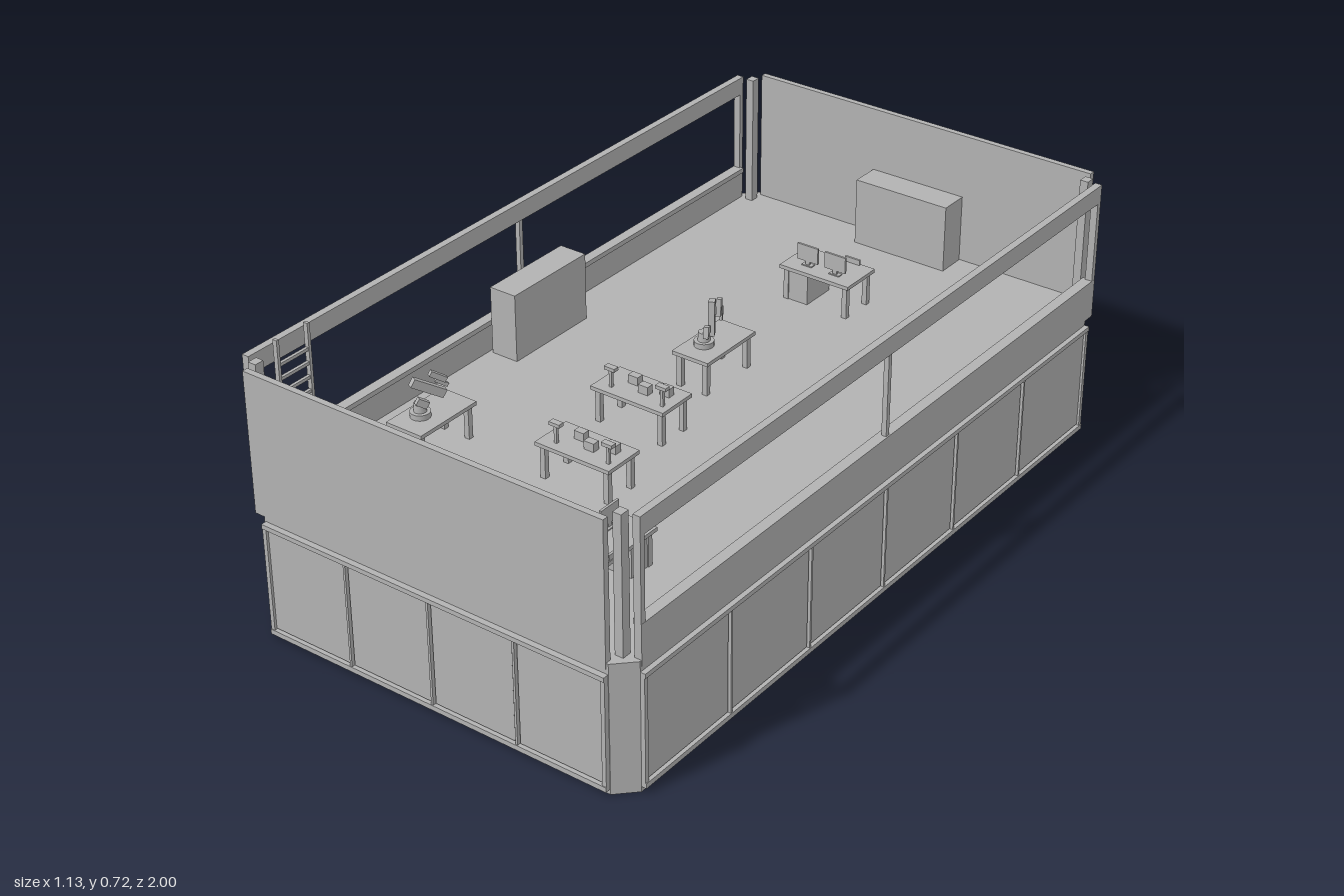
import * as THREE from 'three';

const FLOOR = 0.34, TOP = 0.693;

export function createModel() {
  const root = new THREE.Group();
  root.name = 'cutawayWorkshop';
  const grey = new THREE.MeshStandardMaterial({ color: 0xb2b2b2 });
  grey.name = 'plainGrey';

  const add = (parent, name, geo) => {
    const m = new THREE.Mesh(geo, grey);
    m.name = name;
    parent.add(m);
    return m;
  };
  // Box given by its min and max on each axis
  const box = (parent, name, x0, x1, y0, y1, z0, z1) => {
    const m = add(parent, name, new THREE.BoxGeometry(x1 - x0, y1 - y0, z1 - z0));
    m.position.set((x0 + x1) / 2, (y0 + y1) / 2, (z0 + z1) / 2);
    return m;
  };
  const group = (parent, name, x = 0, y = 0, z = 0, turn = 0) => {
    const g = new THREE.Group();
    g.name = name;
    g.position.set(x, y, z);
    g.rotation.y = turn;
    parent.add(g);
    return g;
  };
  // Square bar between two points
  const bar = (parent, name, a, b, w, h) => {
    const p = new THREE.Vector3(...a), q = new THREE.Vector3(...b);
    const m = add(parent, name, new THREE.BoxGeometry(w, h, p.distanceTo(q)));
    m.position.copy(p).add(q).multiplyScalar(0.5);
    m.lookAt(q);
    return m;
  };

  // Base block with two wide and two narrow cut corners
  const plan = [[-0.474, 0.985], [0.506, 0.985], [0.553, 0.938], [0.553, -0.9]];
  const corners = [...plan, ...plan.map(([x, z]) => [-x, -z])];
  const shape = new THREE.Shape(corners.map(([x, z]) => new THREE.Vector2(x, -z)));
  const base = new THREE.ExtrudeGeometry(shape, { depth: FLOOR, bevelEnabled: false });
  base.rotateX(-Math.PI / 2);
  add(root, 'base', base);

  // Framed panels along one face; local x runs along the face, z points outward
  const panelFrame = (parent, name, x0, x1, depth, count) => {
    const g = group(parent, name);
    const out = depth + 0.013, rail = 0.011;
    box(g, 'panelBacking', x0, x1, 0.015, 0.31, depth - 0.01, depth + 0.003);
    box(g, 'topRail', x0, x1, 0.301, 0.313, depth - 0.01, out + 0.002);
    box(g, 'bottomRail', x0, x1, 0.014, 0.027, depth - 0.01, out + 0.002);
    const step = (x1 - x0 - rail) / count;
    for (let i = 0; i <= count; i++) {
      const x = x0 + i * step;
      const edge = i === 0 || i === count;
      const w = edge ? rail : 0.006, s = edge ? 0 : 0.0025;
      box(g, 'panelPost', x + s, x + s + w, 0.014, 0.313, depth - 0.01, out);
      if (i < count) {
        box(g, 'panel', x + rail + 0.002, x + step - 0.002, 0.031, 0.297, depth, depth + 0.008);
      }
    }
    return g;
  };

  // Everything on the shell repeats after a half turn
  for (const turn of [0, Math.PI]) {
    const half = group(root, 'shellHalf', 0, 0, 0, turn);
    panelFrame(half, 'endPanels', -0.47, 0.505, 0.985, 4);
    panelFrame(half, 'sidePanels', -0.938, 0.9, 0.551, 6).rotation.y = Math.PI / 2;

    // Solid end wall
    box(half, 'endWall', -0.5, 0.5, FLOOR - 0.015, TOP, 0.97, 0.986);

    // Side wall with a long window
    box(half, 'sideLowerWall', 0.534, 0.5535, FLOOR - 0.015, 0.43, -0.933, 0.933);
    box(half, 'sideTopBeam', 0.534, 0.553, 0.645, TOP, -0.933, 0.933);
    for (const s of [-1, 1]) {
      const z = s * 0.926;
      box(half, 'windowJamb', 0.534, 0.553, 0.43, 0.645, z - 0.007, z + 0.007);
      box(half, 'cornerPost', s * 0.507 - 0.011, s * 0.507 + 0.011, FLOOR, TOP, 0.925, 0.95);
    }
    box(half, 'windowMullion', 0.537, 0.55, 0.43, 0.645, 0.002, 0.014);
    box(half, 'windowSill', 0.525, 0.54, 0.417, 0.43, -0.925, 0.925);
  }

  // Cabinets
  box(root, 'backCabinet', -0.137, 0.137, FLOOR, 0.522, -0.968, -0.889);
  box(root, 'sideCabinet', -0.524, -0.447, FLOOR, 0.522, -0.143, 0.13);

  // Table on four legs; the group's origin is the floor below its centre
  const DESK = 0.096;
  const table = (name, x, z, w, d, turn = 0) => {
    const g = group(root, name, x, FLOOR, z, turn);
    box(g, 'tableTop', -w / 2, w / 2, 0.086, DESK, -d / 2, d / 2);
    for (const sx of [-1, 1]) for (const sz of [-1, 1]) {
      const lx = sx * (w / 2 - 0.015), lz = sz * (d / 2 - 0.015);
      box(g, 'tableLeg', lx - 0.007, lx + 0.007, 0, 0.087, lz - 0.007, lz + 0.007);
    }
    return g;
  };

  // Desks with two screens and a drawer unit
  const computerDesk = (x, z, turn) => {
    const g = table('computerDesk', x, z, 0.207, 0.122, turn);
    box(g, 'drawerUnit', -0.085, -0.025, 0, 0.086, -0.05, 0.05);
    for (const sx of [-0.043, 0.04]) {
      box(g, 'screen', sx - 0.031, sx + 0.031, 0.108, 0.152, 0.02, 0.026);
      box(g, 'screenStand', sx - 0.006, sx + 0.006, DESK, 0.11, 0.02, 0.026);
      box(g, 'screenFoot', sx - 0.015, sx + 0.015, DESK, 0.099, 0.014, 0.03);
    }
    box(g, 'keyboard', 0.018, 0.062, DESK, 0.11, -0.059, -0.053);
  };
  computerDesk(-0.017, -0.58, 0);
  computerDesk(0.303, 0.733, -Math.PI / 2);

  // Assembly tables with small boxes and two T-shaped stands
  for (const [x, z] of [[-0.021, 0.186], [0.034, 0.458]]) {
    const g = table('assemblyTable', x, z, 0.213, 0.113);
    for (const [px, pz] of [[-0.03, -0.018], [0.062, -0.018], [0.016, 0.004]]) {
      box(g, 'partsBox', px - 0.014, px + 0.014, DESK, 0.118, pz - 0.01, pz + 0.01);
    }
    for (const px of [-0.065, 0.085]) {
      box(g, 'standPole', px - 0.004, px + 0.004, DESK, 0.145, 0.025, 0.033);
      box(g, 'standHead', px - 0.015, px + 0.015, 0.141, 0.15, 0.021, 0.037);
    }
  }

  // Tables with a jointed arm
  for (const [x, z] of [[-0.021, -0.102], [-0.348, 0.553]]) {
    const g = table('armTable', x, z, 0.106, 0.195);
    const arm = group(g, 'jointedArm', -0.008, DESK, 0.029);
    const foot = add(arm, 'armFoot', new THREE.CylinderGeometry(0.025, 0.025, 0.014, 20));
    foot.position.y = 0.007;
    const turret = add(arm, 'armTurret', new THREE.CylinderGeometry(0.014, 0.016, 0.026, 16));
    turret.position.y = 0.024;
    bar(arm, 'lowerLink', [0.008, 0.028, -0.004], [0.014, 0.052, 0.012], 0.013, 0.018);
    bar(arm, 'upperLink', [0.014, 0.05, 0.014], [-0.008, 0.078, -0.068], 0.016, 0.022);
    bar(arm, 'forearm', [-0.008, 0.076, -0.064], [-0.021, 0.05, -0.098], 0.012, 0.014);
    bar(arm, 'gripper', [-0.021, 0.052, -0.096], [-0.023, 0.018, -0.106], 0.007, 0.01);
  }

  // Ladder beside the wall
  const ladder = group(root, 'ladder', -0.503, 0, 0.827);
  for (const s of [-1, 1]) {
    box(ladder, 'ladderRail', -0.006, 0.006, FLOOR, 0.721, s * 0.049 - 0.004, s * 0.049 + 0.004);
  }
  for (let y = 0.367; y < 0.69; y += 0.036) {
    box(ladder, 'ladderRung', -0.004, 0.004, y - 0.004, y + 0.004, -0.047, 0.047);
  }

  return root;
}
